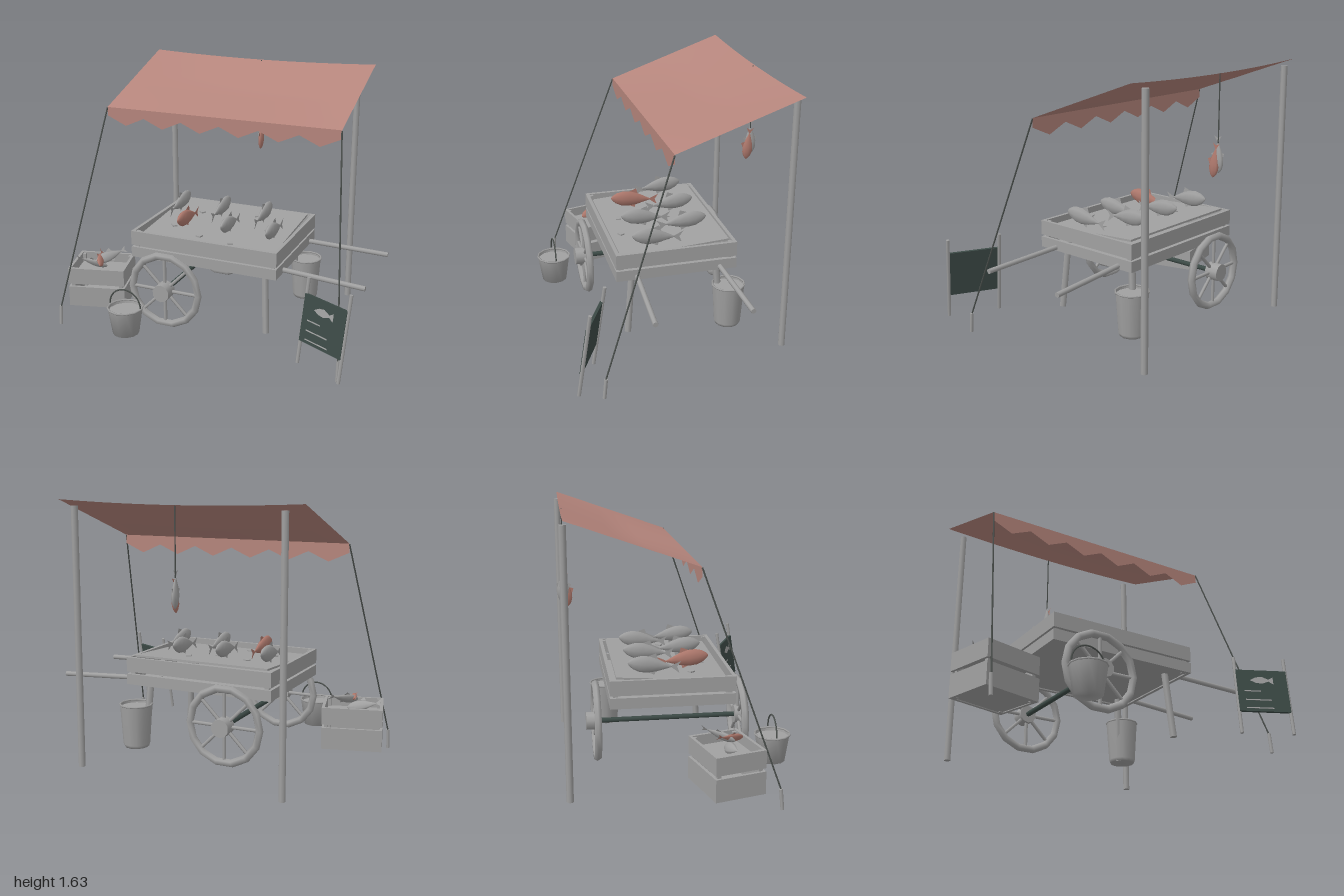
import * as THREE from 'three';

const mat = (name, color, side = THREE.FrontSide) => {
  const m = new THREE.MeshStandardMaterial({ color, side });
  m.name = name;
  return m;
};

export function createModel() {
  const grey = mat('weathered grey', 0xa0a0a0, THREE.DoubleSide);
  const pink = mat('awning pink', 0xb5857c, THREE.DoubleSide);
  const salmon = mat('salmon fish', 0xb07a6e, THREE.DoubleSide);
  const dark = mat('dark slate', 0x3c4a46);
  const ropeMat = mat('rope', 0x4c514e);
  const root = new THREE.Group();
  const V = (x, y, z) => new THREE.Vector3(x, y, z);

  const add = (name, geo, m, parent = root, x = 0, y = 0, z = 0) => {
    const mesh = new THREE.Mesh(geo, m);
    mesh.name = name;
    mesh.position.set(x, y, z);
    parent.add(mesh);
    return mesh;
  };
  const group = (name, x = 0, y = 0, z = 0, parent = root) => {
    const g = new THREE.Group();
    g.name = name;
    g.position.set(x, y, z);
    parent.add(g);
    return g;
  };
  const box = (name, w, h, d, x, y, z, m = grey, parent = root) =>
    add(name, new THREE.BoxGeometry(w, h, d), m, parent, x, y, z);
  // Straight round bar between two points
  const rod = (name, a, b, r, m = grey, parent = root, sides = 8) => {
    const mesh = add(name, new THREE.CylinderGeometry(r, r, a.distanceTo(b), sides), m, parent);
    mesh.position.copy(a).add(b).multiplyScalar(0.5);
    mesh.quaternion.setFromUnitVectors(V(0, 1, 0), b.clone().sub(a).normalize());
    return mesh;
  };
  const flat = (pts) => new THREE.ShapeGeometry(new THREE.Shape(pts.map(([x, y]) => new THREE.Vector2(x, y))));

  // Fish pointing along +z, with tail and back fin in the upright plane
  const fish = (name, x, y, z, len, m = grey, parent = root) => {
    const g = group(name, x, y, z, parent);
    const profile = [[0.012, -0.42], [0.06, -0.3], [0.13, -0.12], [0.175, 0.08], [0.17, 0.24], [0.12, 0.38], [0.05, 0.47], [0, 0.5]];
    const body = new THREE.LatheGeometry(profile.map(([r, t]) => new THREE.Vector2(r * len, t * len)), 8);
    body.rotateX(Math.PI / 2).scale(0.5, 1, 1);
    add('fishBody', body, m, g);
    const fins = [
      [[-0.38, 0], [-0.6, 0.13], [-0.53, 0], [-0.6, -0.13]],
      [[0.12, 0.16], [-0.06, 0.25], [-0.12, 0.12]],
      [[0.06, -0.16], [-0.08, -0.21], [-0.1, -0.12]],
    ];
    for (const f of fins)
      add('fishFin', flat(f.map(([a, b]) => [a * len, b * len])).rotateY(-Math.PI / 2), m, g);
    return g;
  };

  // Sagging awning sheet
  const sheet = new THREE.PlaneGeometry(1.55, 1, 16, 8);
  const p = sheet.attributes.position;
  for (let i = 0; i < p.count; i++) {
    const x = p.getX(i), t = p.getY(i) + 0.5;
    const bow = 1 - (x / 0.775) ** 2;
    const sag = t < 0.5 ? 0.08 * t : 0.04 - 0.04 * (t - 0.5);
    p.setXYZ(i, x, 1.365 + 0.26 * t - bow * sag, 0.075 - 0.735 * t);
  }
  sheet.computeVertexNormals();
  add('awning', sheet, pink);

  // Zigzag valance
  const edge = [[-0.775, 1.365], [-0.775, 1.31]];
  for (let i = 0; i < 6; i++) {
    const x = -0.775 + i * 1.55 / 6;
    edge.push([x + 0.129, 1.253], [x + 0.2583, 1.31]);
  }
  edge.push([0.775, 1.365]);
  add('valance', flat(edge), pink, root, 0, 0, 0.075);

  // Posts, guy ropes and stakes
  for (const s of [-1, 1]) {
    rod('awningPost', V(s * 0.663, 0, -0.66), V(s * 0.663, 1.59, -0.66), 0.021);
    rod('guyRope', V(s * 0.775, 1.362, 0.075), V(s * 0.93, 0.11, 0.51), 0.005, ropeMat, root, 5);
    rod('stake', V(s * 0.93, 0, 0.517), V(s * 0.93, 0.125, 0.505), 0.011, grey, root, 6);
  }

  // Slatted open box: two planks per side, corner posts and floor
  const slatBox = (g, w, d, slats, y0, y1, t) => {
    for (const [a, b] of slats) {
      const h = b - a, y = (a + b) / 2;
      for (const s of [-1, 1]) {
        box('longPlank', w, h, t, 0, y, s * (d - t) / 2, grey, g);
        box('endPlank', t, h, d - 2 * t, s * (w - t) / 2, y, 0, grey, g);
      }
    }
    for (const sx of [-1, 1]) for (const sz of [-1, 1])
      box('cornerPost', t * 1.3, y1 - y0, t * 1.3, sx * (w / 2 - t * 1.5), (y0 + y1) / 2, sz * (d / 2 - t * 1.5), grey, g);
    box('floor', w - 2 * t, 0.015, d - 2 * t, 0, y0 + 0.012, 0, grey, g);
  };

  // Cart tray with tilted display board
  const cart = group('cart', 0, 0, -0.034);
  slatBox(cart, 0.97, 0.75, [[0.482, 0.548], [0.562, 0.653]], 0.485, 0.648, 0.022);
  box('innerLining', 0.92, 0.1, 0.006, 0, 0.545, 0.347, grey, cart);
  const board = box('displayBoard', 0.89, 0.012, 0.67, 0, 0.636, 0, grey, cart);
  board.rotation.x = 0.065;

  // Fish in two rows, tails together
  for (let i = 0; i < 3; i++) {
    const front = fish('frontRowFish', -0.22 + i * 0.295, 0.697, 0.075, 0.29, i === 0 ? salmon : grey);
    front.rotation.x = -0.12;
    const back = fish('backRowFish', -0.37 + i * 0.295, 0.71, -0.15, 0.29);
    back.rotation.set(-0.12, Math.PI, 0, 'YXZ');
  }
  // Ice lumps
  for (const [x, z] of [[-0.08, 0.2], [0.145, 0.235], [-0.3, 0.1], [0.3, -0.02], [0, -0.1], [-0.22, -0.16], [0.15, -0.22]])
    box('iceLump', 0.036, 0.022, 0.03, x, 0.637 - z * 0.065, z).rotation.y = x * 3;

  // Shafts and legs
  for (const s of [-1, 1]) {
    rod('shaft', V(0.3, 0.51, -0.045 + s * 0.25), V(1.0, 0.478, -0.045 + s * 0.283), 0.016);
    rod('leg', V(0.37, 0.5, -0.045 + s * 0.265), V(0.395, 0.08, -0.045 + s * 0.3), 0.022, grey, root, 6);
  }

  // Wheels and axle
  rod('axle', V(-0.22, 0.322, -0.48), V(-0.22, 0.322, 0.41), 0.016, dark);
  for (const s of [-1, 1]) {
    const w = group('wheel', -0.22, 0.322, -0.034 + s * 0.443);
    add('rim', new THREE.TorusGeometry(0.226, 0.024, 6, 14), grey, w);
    rod('hub', V(0, 0, -s * 0.025), V(0, 0, s * 0.062), 0.056, grey, w, 10);
    for (let i = 0; i < 8; i++) {
      const a = i * Math.PI / 4;
      rod('spoke', V(0, 0, 0), V(Math.cos(a) * 0.22, Math.sin(a) * 0.22, 0), 0.011, grey, w, 6);
    }
  }

  // Fish crate
  const crate = group('crate', -0.778, 0, 0.225);
  crate.rotation.y = 0.26;
  slatBox(crate, 0.37, 0.31, [[0.095, 0.23], [0.25, 0.357]], 0.095, 0.35, 0.018);
  box('crateFill', 0.33, 0.012, 0.27, 0, 0.29, 0, grey, crate);
  [[0.0, 0.385, 0.03, 0.17, 0.2, salmon], [0.05, 0.39, -0.02, 0.2, -0.9, grey], [-0.06, 0.345, 0.0, 0.2, 1.5, grey]]
    .forEach(([x, y, z, len, turn, m]) => {
      fish('crateFish', x, y, z, len, m, crate).rotation.set(0.2, turn, 0.6, 'YXZ');
    });

  // Buckets
  const bucket = (name, x, z, h, prof, fill) => {
    const g = group(name, x, 0.08, z);
    add('bucketWall', new THREE.LatheGeometry(prof.map(([r, y]) => new THREE.Vector2(r, y)), 12), grey, g);
    const top = prof[prof.length - 1][0];
    add('bucketRim', new THREE.TorusGeometry(top, 0.006, 5, 12).rotateX(Math.PI / 2), grey, g, 0, h, 0);
    add('bucketFill', new THREE.CircleGeometry(top * 0.97, 12).rotateX(-Math.PI / 2), grey, g, 0, fill, 0);
    return g;
  };
  const pail = bucket('pail', -0.405, 0.588, 0.17, [[0, 0], [0.082, 0], [0.108, 0.17]], 0.15);
  add('pailHandle', new THREE.TorusGeometry(0.106, 0.005, 5, 16, Math.PI), ropeMat, pail, 0, 0.18, 0);
  bucket('tallBucket', 0.442, -0.376, 0.272, [[0, 0], [0.076, 0], [0.084, 0.02], [0.101, 0.272]], 0.255);

  // Standing sign
  const sign = group('sign', 0.835, 0.08, 0.6);
  sign.rotation.set(-0.15, -0.45, 0, 'YXZ');
  for (const s of [-1, 1])
    rod('signPost', V(s * 0.158, 0, 0), V(s * 0.158, 0.52, 0), 0.011, grey, sign, 6);
  box('signBoard', 0.315, 0.285, 0.016, 0, 0.285, 0.006, dark, sign);
  [[0.1, 0.28], [0.16, 0.22], [0.17, 0.165]].forEach(([w, y]) =>
    box('paintedStripe', w, 0.007, 0.003, -0.115 + w / 2, y, 0.0145, grey, sign));
  const mark = flat([[-0.075, 0], [-0.04, 0.02], [0, 0.027], [0.04, 0.008], [0.07, 0.025], [0.07, -0.025], [0.04, -0.006], [0, -0.022], [-0.04, -0.018]]);
  add('paintedFish', mark, grey, sign, 0, 0.355, 0.0155);

  // Hanging fish, heads down
  rod('hangingRope', V(0, 1.2, -0.648), V(0, 1.603, -0.648), 0.004, ropeMat, root, 5);
  fish('hangingFish', 0, 1.125, -0.65, 0.2).rotation.x = Math.PI / 2 + 0.05;
  fish('hangingFish', 0.012, 1.09, -0.632, 0.19, salmon).rotation.x = Math.PI / 2 - 0.1;

  return root;
}
